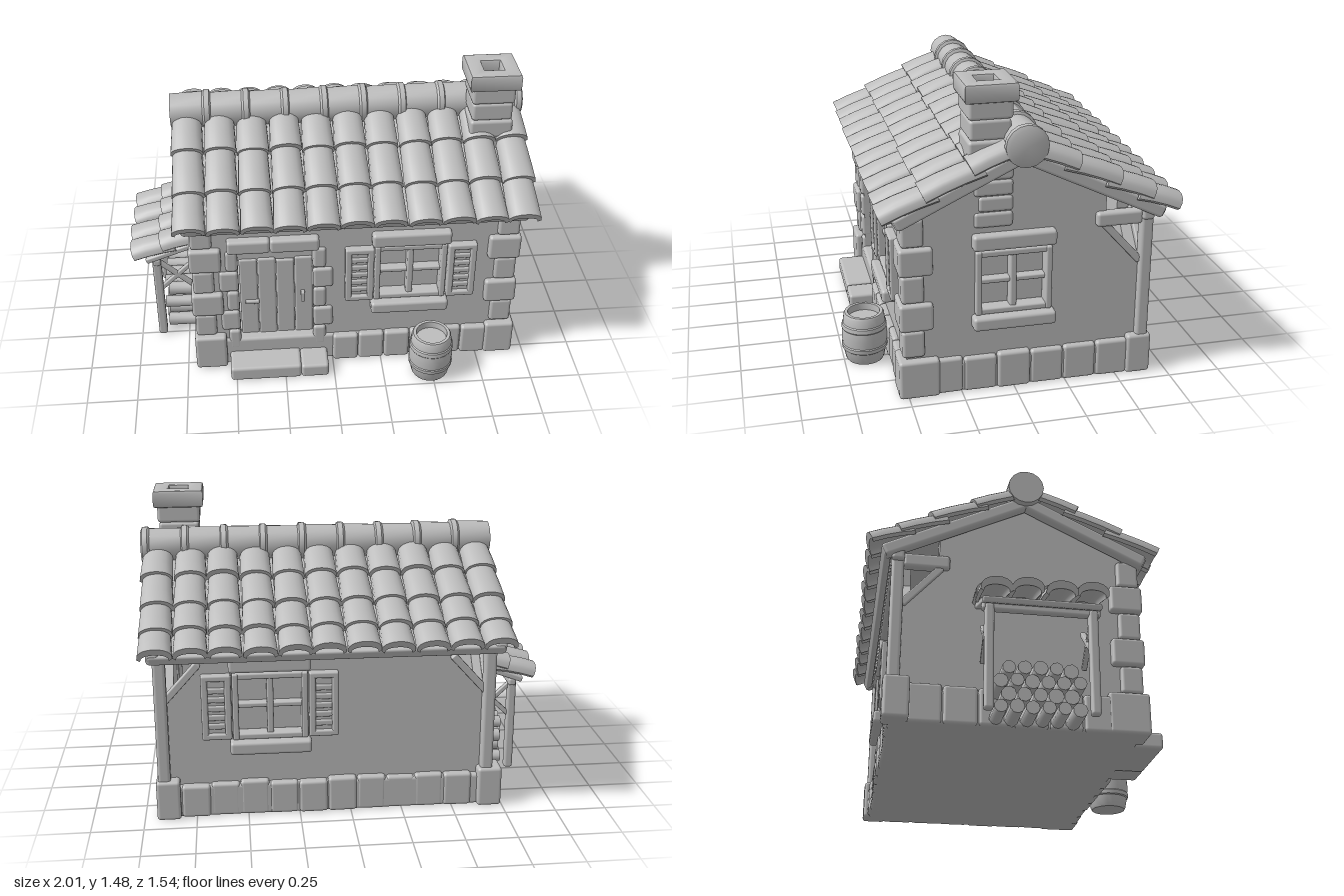
import * as THREE from 'three';
import { RoundedBoxGeometry } from 'three/addons/geometries/RoundedBoxGeometry.js';
import { toCreasedNormals } from 'three/addons/utils/BufferGeometryUtils.js';

const clay = new THREE.MeshStandardMaterial({ color: 0xbdbdbd, side: THREE.DoubleSide });
clay.name = 'clay grey';

let seed = 7;
const rand = () => ((seed = (seed * 16807) % 2147483647) / 2147483647);
const jitter = (a) => (rand() - 0.5) * 2 * a;

function add(parent, name, geo, x = 0, y = 0, z = 0) {
  const m = new THREE.Mesh(geo, clay);
  m.name = name;
  m.position.set(x, y, z);
  parent.add(m);
  return m;
}

function group(parent, name, x = 0, y = 0, z = 0, ry = 0, rx = 0) {
  const g = new THREE.Group();
  g.name = name;
  g.position.set(x, y, z);
  g.rotation.set(rx, ry, 0, 'YXZ');
  parent.add(g);
  return g;
}

// Soft-edged block given by its limits, with an optional slight tilt
function block(parent, name, x0, x1, y0, y1, z0, z1, tilt = 0) {
  const w = x1 - x0, h = y1 - y0, d = z1 - z0;
  const r = Math.min(0.016, Math.min(w, h, d) * 0.3);
  const m = add(parent, name, new RoundedBoxGeometry(w, h, d, 2, r), (x0 + x1) / 2, (y0 + y1) / 2, (z0 + z1) / 2);
  if (tilt) m.rotation.z = jitter(tilt);
  return m;
}

// Square bar between two points
function bar(parent, name, a, b, t) {
  const p = new THREE.Vector3(...a), q = new THREE.Vector3(...b);
  const m = add(parent, name, new RoundedBoxGeometry(t, t, p.distanceTo(q), 1, t * 0.2));
  m.position.copy(p).add(q).multiplyScalar(0.5);
  m.lookAt(q);
  return m;
}

const rect = (x0, x1, y0, y1) => [[x0, y0], [x1, y0], [x1, y1], [x0, y1]];
const toV2 = (pts) => pts.map((p) => new THREE.Vector2(...p));

// Wall slab whose outer face lies on local z = 0
function wall(parent, points, holes = []) {
  const s = new THREE.Shape(toV2(points));
  holes.forEach((h) => s.holes.push(new THREE.Path(toV2(h))));
  const geo = new THREE.ExtrudeGeometry(s, { depth: 0.06, bevelEnabled: false });
  add(parent, 'plasterWall', geo.translate(0, 0, -0.06));
}

// Cross-barred window with lintel, sill and optional shutters
function windowUnit(parent, u0, u1, y0, y1, shutters) {
  const g = group(parent, 'window');
  const m = (u0 + u1) / 2, t = 0.03, half = (u1 - u0) / 2 + 0.03;
  block(g, 'panes', u0 - 0.01, u1 + 0.01, y0 - 0.01, y1 + 0.01, -0.07, -0.045);
  for (const s of [-1, 1]) block(g, 'frameSide', m + s * (u1 - u0) / 2 - t / 2, m + s * (u1 - u0) / 2 + t / 2, y0, y1, -0.05, 0.025);
  block(g, 'frameTop', u0, u1, y1 - t, y1, -0.05, 0.02);
  block(g, 'frameBottom', u0, u1, y0, y0 + t, -0.05, 0.02);
  block(g, 'mullion', m - 0.016, m + 0.016, y0, y1, -0.05, 0.01);
  block(g, 'crossbar', u0, u1, (y0 + y1) / 2 - 0.012, (y0 + y1) / 2 + 0.012, -0.05, 0);
  block(g, 'lintel', m - half, m + half, y1 + 0.01, y1 + 0.085, -0.03, 0.045);
  block(g, 'sill', m - half, m + half, y0 - 0.065, y0, -0.03, 0.06);
  if (!shutters) return;
  for (const s of [-1, 1]) {
    const c = m + s * ((u1 - u0) / 2 + 0.09), b = y0 + 0.01;
    block(g, 'shutter', c - 0.065, c + 0.065, b, y1, -0.02, 0.018);
    for (const e of [-1, 1]) block(g, 'shutterStile', c + e * 0.055 - 0.016, c + e * 0.055 + 0.016, b, y1, -0.02, 0.038);
    for (const y of [b, y1 - 0.03]) block(g, 'shutterRail', c - 0.06, c + 0.06, y, y + 0.03, -0.02, 0.038);
    for (let y = b + 0.05; y < y1 - 0.05; y += 0.045) block(g, 'shutterSlat', c - 0.045, c + 0.045, y, y + 0.03, 0, 0.028);
  }
}

// Row of foundation or wall stones along a wall
function stoneRow(parent, name, u0, u1, y0, y1, out, n) {
  const w = (u1 - u0) / n;
  for (let i = 0; i < n; i++) block(parent, name, u0 + i * w, u0 + (i + 1) * w - 0.003, y0, y1 + jitter(0.008), -0.05, out + jitter(0.006), 0.012);
}

// Arched roof tile: runs down +z, wider and lifted at its lower end
function tileGeometry(w, l, h) {
  const outer = [], inner = [];
  for (let i = 0; i <= 10; i++) {
    const a = Math.PI * (i / 10), c = -Math.cos(a) * w / 2, s = Math.pow(Math.sin(a), 0.75);
    outer.push([c, s * h]);
    inner.unshift([c * 0.8, s * (h - 0.024) - 0.012]);
  }
  const geo = new THREE.ExtrudeGeometry(new THREE.Shape(toV2([...outer, ...inner])), { depth: l, steps: 3, bevelEnabled: false });
  const p = geo.attributes.position;
  for (let i = 0; i < p.count; i++) {
    const t = p.getZ(i) / l;
    p.setX(i, p.getX(i) * (0.9 + 0.11 * t));
    p.setY(i, p.getY(i) + 0.028 * t + 0.006 * Math.sin(Math.PI * t));
  }
  return toCreasedNormals(geo, 0.7);
}

// Tiled slope: rows end at the given distances from the top
function tileSlope(g, x0, x1, cols, ends, h) {
  const w = (x1 - x0) / cols;
  ends.forEach((end, r) => {
    const start = r ? ends[r - 1] - 0.06 : 0;
    const geo = tileGeometry(w, end - start, h);
    for (let c = 0; c < cols; c++) {
      const t = add(g, 'roofTile', geo, x0 + (c + 0.5) * w, jitter(0.004), start + jitter(0.006));
      t.rotation.y = jitter(0.015);
    }
  });
}

export function createModel() {
  const house = new THREE.Group();
  house.name = 'cottage';

  // Solid base
  block(house, 'base', -0.69, 0.92, 0, 0.16, -0.64, 0.52);

  // Front wall with door and window
  const front = group(house, 'frontWall', 0, 0, 0.505);
  wall(front, rect(-0.68, 0.9, 0, 0.89), [rect(-0.47, -0.1, 0.08, 0.72), rect(0.22, 0.55, 0.38, 0.72)]);
  windowUnit(front, 0.22, 0.55, 0.385, 0.715, true);
  stoneRow(front, 'foundationStone', 0, 0.8, 0, 0.17, 0.03, 6);
  block(front, 'cornerStone', -0.705, -0.545, 0, 0.2, -0.15, 0.045);
  block(front, 'cornerStone', 0.79, 0.94, 0, 0.19, -0.15, 0.04);
  for (let i = 0; i < 4; i++) block(front, 'doorPlank', -0.465 + i * 0.092, -0.375 + i * 0.092, 0.08, 0.63 + jitter(0.008), -0.07, -0.035 + jitter(0.004));
  block(front, 'doorHeader', -0.48, -0.09, 0.62, 0.73, -0.08, -0.045);
  block(front, 'doorHinge', -0.44, -0.37, 0.36, 0.38, -0.04, -0.02);
  block(front, 'doorHandle', -0.16, -0.14, 0.37, 0.43, -0.04, -0.005);
  block(front, 'doorLintel', -0.52, -0.31, 0.725, 0.8, -0.04, 0.045);
  block(front, 'doorLintel', -0.31, -0.07, 0.725, 0.8, -0.04, 0.045);
  block(front, 'doorStep', -0.53, -0.17, 0, 0.08, -0.06, 0.15);
  block(front, 'doorStep', -0.17, -0.03, 0, 0.075, -0.06, 0.15);
  for (let i = 0; i < 5; i++) {
    const y = 0.1 + i * 0.125, k = (i % 2) * 0.035;
    block(front, 'jambStone', -0.1, -0.035 + k, y, y + 0.12, -0.05, 0.016, 0.03);
    block(front, 'jambStone', -0.53 - k, -0.47, y, y + 0.12, -0.05, 0.016, 0.03);
  }

  // Alternating stones on both front corners
  for (let i = 0; i < 5; i++) {
    const y = 0.2 + i * 0.137, k = (i % 2) * 0.04, e = (i % 2) * 0.012;
    block(house, 'quoin', 0.81 - k, 0.918 + e, y, y + 0.134, 0.42 - k, 0.525 + e, 0.012);
    block(house, 'quoin', -0.695 - e, -0.59 + k, y, y + 0.134, 0.42 - k, 0.525 + e, 0.012);
  }

  // Gable walls, open under the rear corner braces
  const gable = [[-0.5, 0], [0.6, 0], [0.6, 0.58], [0.43, 0.77], [0.43, 0.95], [0.02, 1.15], [-0.5, 0.9]];
  const right = group(house, 'rightWall', 0.9, 0, 0, Math.PI / 2);
  wall(right, gable, [rect(-0.17, 0.16, 0.385, 0.7)]);
  windowUnit(right, -0.17, 0.16, 0.385, 0.7, false);
  for (let i = 0; i < 4; i++) block(right, 'chimneyStone', -0.19 + (i % 2) * 0.02, -0.01, 0.81 + i * 0.075, 0.883 + i * 0.075, -0.05, 0.012);
  const left = group(house, 'leftWall', -0.67, 0, 0, -Math.PI / 2);
  wall(left, gable.map(([u, y]) => [-u, y]));
  stoneRow(right, 'foundationStone', -0.4, 0.56, 0, 0.18, 0.028, 6);
  stoneRow(left, 'foundationStone', -0.56, 0.4, 0, 0.18, 0.028, 6);

  // Back wall
  const back = group(house, 'backWall', 0, 0, -0.61, Math.PI);
  wall(back, [[-0.88, 0], [0.66, 0], [0.66, 0.58], [0.49, 0.77], [0.49, 0.87], [-0.72, 0.87], [-0.72, 0.77], [-0.88, 0.58]], [rect(-0.55, -0.22, 0.39, 0.73)]);
  windowUnit(back, -0.55, -0.22, 0.39, 0.725, true);
  stoneRow(back, 'foundationStone', -0.82, 0.6, 0, 0.17, 0.035, 10);

  // Rear corner posts with braces and beams
  for (const [x, s] of [[0.9, 1], [-0.67, -1]]) {
    block(house, 'cornerStone', x - 0.075, x + 0.075 - (s < 0 ? 0.03 : 0.035), 0, 0.2, -0.67, -0.55);
    block(house, 'cornerPost', x - 0.03, x + 0.03, 0.18, 0.84, -0.655, -0.595);
    block(house, 'sideBeam', x - 0.025, x + 0.03, 0.77, 0.84, -0.6, -0.38);
    bar(house, 'sideBrace', [x, 0.58, -0.6], [x, 0.78, -0.42], 0.035);
    bar(house, 'backBrace', [x, 0.58, -0.62], [x - s * 0.18, 0.78, -0.62], 0.035);
  }
  block(house, 'backBeam', -0.72, 0.94, 0.79, 0.85, -0.655, -0.595);

  // Main roof slopes
  for (const [name, ry, len, ends] of [['frontRoof', 0, 0.65, [0.25, 0.48, 0.69]], ['backRoof', Math.PI, 0.755, [0.26, 0.47, 0.645, 0.79]]]) {
    const g = group(house, name, 0.11, 1.175, -0.025, ry, 0.45);
    block(g, 'roofBoard', -0.835, 0.835, -0.035, 0, 0, len);
    for (const x of [-0.815, 0.815]) block(g, 'bargeBoard', x - 0.03, x + 0.03, -0.055, 0.01, 0, len);
    block(g, 'eaveBoard', -0.835, 0.835, -0.05, 0, len - 0.03, len + 0.005);
    tileSlope(g, -0.88, 0.88, 11, ends, 0.062);
  }

  // Ridge caps
  for (let i = 0; i < 9; i++) {
    const profile = [[0, -0.104], [0.08, -0.104], [0.098, -0.095], [0.099, -0.07], [0.09, -0.06], [0.086, 0.1], [0, 0.1]];
    const geo = new THREE.LatheGeometry(toV2(profile), 16).rotateZ(Math.PI / 2);
    const cap = add(house, 'ridgeCap', toCreasedNormals(geo, 0.6), 0.89 - i * 0.195, 1.21 + jitter(0.003), -0.03);
    cap.rotation.z = jitter(0.02);
  }

  // Chimney with open cap
  const chimney = group(house, 'chimney', 0.805, 0, 0.115);
  for (let i = 0; i < 4; i++) {
    const e = (i % 2) * 0.006;
    block(chimney, 'chimneyCourse', -0.1 - e, 0.1 + e, 1.03 + i * 0.094, 1.124 + i * 0.094, -0.095 - e, 0.095 + e);
  }
  const ring = new THREE.Shape(toV2(rect(-0.11, 0.11, -0.105, 0.105)));
  ring.holes.push(new THREE.Path(toV2(rect(-0.06, 0.06, -0.06, 0.06))));
  const capGeo = new THREE.ExtrudeGeometry(ring, { depth: 0.06, bevelSize: 0.014, bevelThickness: 0.014, bevelSegments: 2 });
  add(chimney, 'chimneyCap', toCreasedNormals(capGeo.rotateX(-Math.PI / 2), 0.6), 0, 1.405, 0);

  // Lean-to wood shelter on the left wall
  const shelter = group(house, 'woodShelter', -0.67, 0.615, 0.01, -Math.PI / 2, 0.35);
  block(shelter, 'shelterBoard', -0.27, 0.27, -0.03, 0, 0, 0.29);
  tileSlope(shelter, -0.29, 0.29, 4, [0.18, 0.335], 0.058);
  block(house, 'shelterBeam', -0.905, -0.865, 0.47, 0.51, -0.26, 0.28);
  for (const z of [-0.225, 0.245]) {
    block(house, 'shelterPost', -0.91, -0.865, 0, 0.5, z - 0.022, z + 0.022);
    bar(house, 'shelterBrace', [-0.88, 0.3, z], [-0.69, 0.48, z], 0.024);
    bar(house, 'shelterBrace', [-0.88, 0.48, z], [-0.69, 0.3, z], 0.024);
  }

  // Stacked firewood
  for (let row = 0; row < 4; row++) for (let i = 0; i < 6 - (row % 2); i++) {
    const r = 0.033 + jitter(0.003);
    const log = new THREE.CylinderGeometry(r, r, 0.18, 9).rotateZ(Math.PI / 2);
    add(house, 'firewood', toCreasedNormals(log, 0.8), -0.765 + jitter(0.012), 0.036 + row * 0.061, -0.165 + (i + (row % 2) / 2) * 0.07);
  }

  // Open barrel
  const staves = [[0, 0], [0.088, 0], [0.094, 0.01], [0.104, 0.06], [0.11, 0.065], [0.112, 0.085], [0.108, 0.09], [0.111, 0.13], [0.108, 0.17], [0.111, 0.175], [0.108, 0.195], [0.103, 0.2], [0.099, 0.24], [0.093, 0.25], [0.078, 0.25], [0.076, 0.215], [0, 0.215]];
  add(house, 'barrel', toCreasedNormals(new THREE.LatheGeometry(toV2(staves), 24), 0.6), 0.49, 0, 0.645);

  return house;
}
